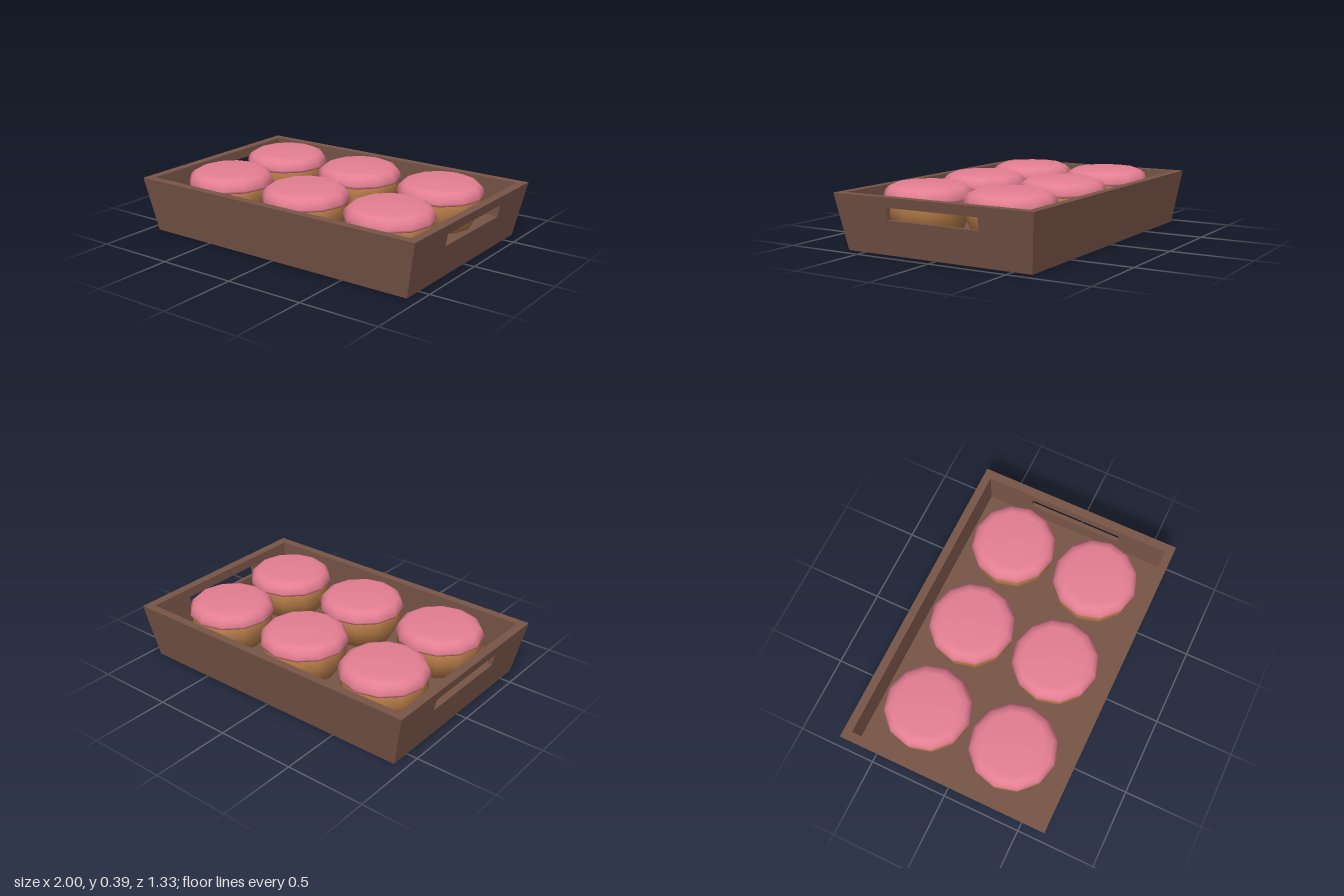
import * as THREE from 'three';

const H = 0.345, FLOOR = 0.1;          // rim height, inside floor height
const IN_X = 0.945, IN_Z = 0.615;      // inside half sizes
const outX = (y) => 0.93 + 0.07 * y / H;   // outer faces lean outwards
const outZ = (y) => 0.62 + 0.047 * y / H;

// Rewrites every vertex by a rule and gives flat faces
function reshape(geometry, rule) {
  const g = geometry.index ? geometry.toNonIndexed() : geometry;
  const p = g.attributes.position;
  for (let i = 0; i < p.count; i++) p.setXYZ(i, ...rule(p.getX(i), p.getY(i), p.getZ(i)));
  g.computeVertexNormals();
  return g;
}

function addMesh(parent, name, geometry, material) {
  const mesh = new THREE.Mesh(geometry, material);
  mesh.name = name;
  parent.add(mesh);
  return mesh;
}

// End wall with a handle slot; side is +1 or -1 along x
function endWall(side) {
  const shape = new THREE.Shape([
    new THREE.Vector2(-outZ(FLOOR), FLOOR), new THREE.Vector2(outZ(FLOOR), FLOOR),
    new THREE.Vector2(outZ(H), H), new THREE.Vector2(-outZ(H), H),
  ]);
  const mid = 0.008 * side, half = 0.308;
  shape.holes.push(new THREE.Path([
    new THREE.Vector2(mid - half, 0.21), new THREE.Vector2(mid - half, 0.285),
    new THREE.Vector2(mid + half, 0.285), new THREE.Vector2(mid + half, 0.21),
  ]));
  const g = new THREE.ExtrudeGeometry(shape, { depth: 1, bevelEnabled: false });
  return reshape(g, (a, y, d) => [side * (d > 0.5 ? outX(y) : IN_X), y, -side * a]);
}

// Long wall, upright inside and leaning outside
function longWall(side) {
  return reshape(new THREE.BoxGeometry(1, 1, 1), (x, y, z) => {
    const Y = y > 0 ? H : FLOOR;
    return [Math.sign(x) * IN_X, Y, side * (z * side > 0 ? outZ(Y) : IN_Z)];
  });
}

export function createModel() {
  const model = new THREE.Group();
  model.name = 'cupcakeTray';
  const wood = new THREE.MeshStandardMaterial({ color: 0x795548 });
  wood.name = 'brown wood';
  const icing = new THREE.MeshStandardMaterial({ color: 0xe57f93 });
  icing.name = 'pink icing';
  const sponge = new THREE.MeshStandardMaterial({ color: 0xc68750 });
  sponge.name = 'golden sponge';

  // Tray
  const tray = new THREE.Group();
  tray.name = 'tray';
  model.add(tray);
  addMesh(tray, 'trayBase', reshape(new THREE.BoxGeometry(1, 1, 1), (x, y, z) => {
    const Y = y > 0 ? FLOOR : 0;
    return [Math.sign(x) * outX(Y), Y, Math.sign(z) * outZ(Y)];
  }), wood);
  for (const side of [1, -1]) {
    addMesh(tray, side > 0 ? 'leftEndWall' : 'rightEndWall', endWall(side), wood);
    addMesh(tray, side > 0 ? 'frontWall' : 'backWall', longWall(side), wood);
  }

  // Cupcakes: twelve-sided turned cake with a domed icing cap
  const turned = (points) => new THREE.LatheGeometry(points.map(([r, y]) => new THREE.Vector2(r, y)), 12);
  const cake = turned([[0, FLOOR + 0.002], [0.2, FLOOR + 0.002], [0.258, 0.225], [0.255, 0.292]]);
  const cap = turned([[0.245, 0.288], [0.262, 0.291], [0.27, 0.308], [0.257, 0.345],
    [0.235, 0.366], [0.195, 0.383], [0, 0.387]]);
  for (const x of [-0.605, -0.007, 0.596]) {
    for (const z of [-0.283, 0.284]) {
      const cupcake = new THREE.Group();
      cupcake.name = 'cupcake';
      cupcake.position.set(x, 0, z);
      addMesh(cupcake, 'cake', cake, sponge);
      addMesh(cupcake, 'icing', cap, icing);
      model.add(cupcake);
    }
  }
  return model;
}
